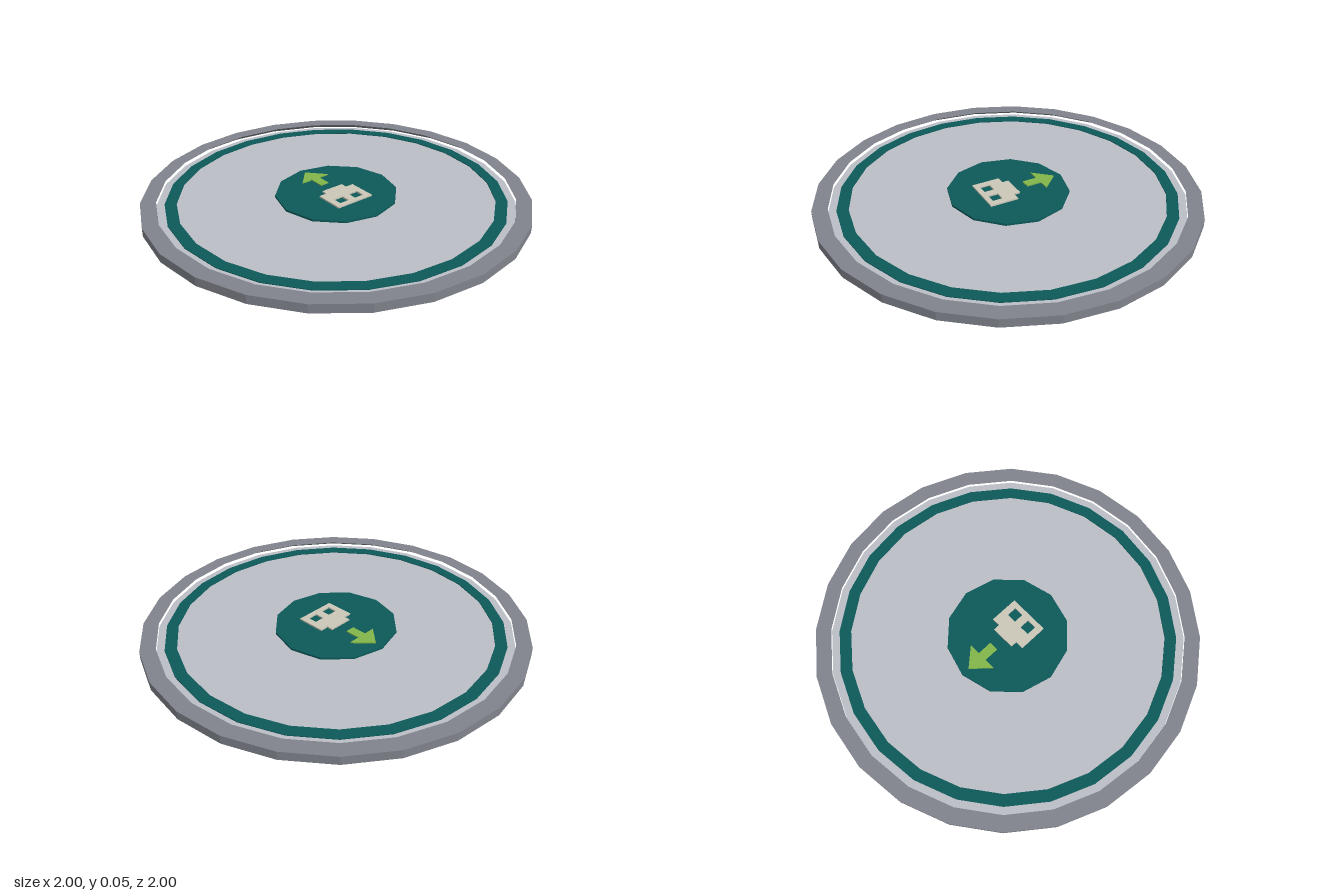
import * as THREE from 'three';

const flat = (name, color) => {
  const m = new THREE.MeshStandardMaterial({ color, flatShading: true });
  m.name = name;
  return m;
};

export function createModel() {
  const group = new THREE.Group();
  const rimGrey = flat('rim grey', 0x80848c);
  const plateGrey = flat('plate grey', 0xbcbec6);
  const teal = flat('dark teal', 0x0d5a5a);
  const cream = flat('cream', 0xcbc7b8);
  const green = flat('leaf green', 0x82b64b);

  const add = (name, geometry, material, y = 0) => {
    const mesh = new THREE.Mesh(geometry, material);
    mesh.name = name;
    mesh.position.y = y;
    group.add(mesh);
  };
  // Faceted ring turned from a closed [radius, height] profile
  const ring = (profile) =>
    new THREE.LatheGeometry(profile.map(([r, y]) => new THREE.Vector2(r, y)), 24);
  // Faceted disc standing on its base
  const disc = (radius, height, sides) =>
    new THREE.CylinderGeometry(radius, radius, height, sides).translate(0, height / 2, 0);
  // Outline in (x, z) extruded upwards
  const toPoints = (outline) => outline.map(([x, z]) => new THREE.Vector2(x, -z));
  const plate = (outline, height, holes = []) => {
    const shape = new THREE.Shape(toPoints(outline));
    shape.holes = holes.map((h) => new THREE.Path(toPoints(h)));
    return new THREE.ExtrudeGeometry(shape, { depth: height, bevelEnabled: false })
      .rotateX(-Math.PI / 2);
  };

  // Outer rim: flat top, upright outside, undercut below
  add('outerRim', ring([[1, 0], [1, 0.045], [0.92, 0.045], [1, 0]]), rimGrey);

  // Base plate and its inlaid band
  add('basePlate', disc(0.92, 0.01, 24), plateGrey, 0.016);
  add('tealBand', ring([[0.82, 0.025], [0.88, 0.025], [0.88, 0.03], [0.82, 0.03], [0.82, 0.025]]), teal);

  // Raised centre badge
  add('centreBadge', disc(0.32, 0.011, 12), teal, 0.026);

  // Block emblem with two square windows
  const square = (x) => [[x - 0.027, 0.073], [x + 0.027, 0.073], [x + 0.027, 0.127], [x - 0.027, 0.127]];
  add('blockEmblem', plate([
    [-0.11, 0.155], [0.11, 0.155], [0.11, 0], [0.065, 0],
    [0.065, -0.035], [-0.065, -0.035], [-0.065, 0], [-0.11, 0],
  ], 0.008, [square(-0.048), square(0.048)]), cream, 0.037);

  // Arrow pointing to the back
  add('arrow', plate([
    [-0.025, -0.1], [0.025, -0.1], [0.025, -0.182], [0.085, -0.182],
    [0, -0.277], [-0.085, -0.182], [-0.025, -0.182],
  ], 0.006), green, 0.037);

  return group;
}
